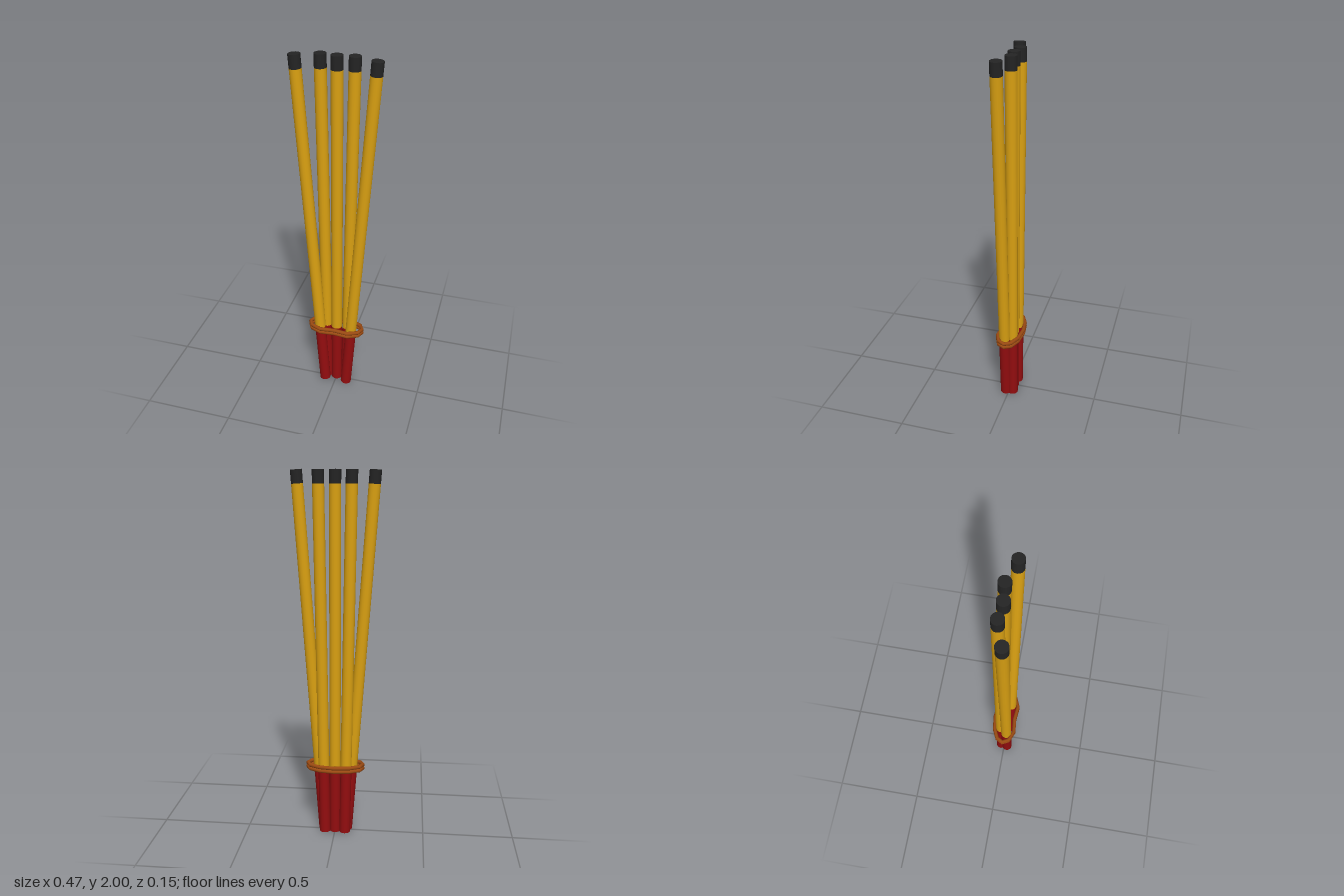
import * as THREE from 'three';

const paint = (name, color) => {
  const m = new THREE.MeshStandardMaterial({ color });
  m.name = name;
  return m;
};

export function createModel() {
  const group = new THREE.Group();
  group.name = 'stickBundle';
  const yellow = paint('goldenYellow', 0xd9a012);
  const red = paint('darkRed', 0x930d0f);
  const black = paint('charcoal', 0x242424);
  const brown = paint('bandBrown', 0x9a4a12);
  const R = 0.031;

  // One stick: red grip, yellow shaft and black tip along a leaning axis
  function addStick(name, xBottom, xTop, z) {
    const stick = new THREE.Group();
    stick.name = name;
    const lean = Math.atan2(xTop - xBottom, 2);
    const inset = R * Math.abs(Math.sin(lean));
    const length = (2 - 2 * inset) / Math.cos(lean);
    const sections = [
      ['grip', 0, 0.39, red],
      ['shaft', 0.39, length - 0.07, yellow],
      ['tip', length - 0.07, length, black],
    ];
    for (const [part, from, to, material] of sections) {
      const mesh = new THREE.Mesh(new THREE.CylinderGeometry(R, R, to - from, 16), material);
      mesh.name = part;
      mesh.position.y = (from + to) / 2;
      stick.add(mesh);
    }
    stick.position.set(xBottom, inset, z);
    stick.rotation.z = -lean;
    group.add(stick);
  }

  // Fan of five sticks, the outer pairs mirrored
  addStick('centreStick', 0, 0, -0.011);
  for (const [side, s] of [['left', 1], ['right', -1]]) {
    addStick(side + 'InnerStick', s * 0.056, s * 0.086, -0.02);
    addStick(side + 'OuterStick', s * 0.064, s * 0.203, 0.018);
  }

  // Band wrapped twice around the bundle, pinched at the front
  const half = [[0.08, -0.056], [0.136, -0.03], [0.154, 0.004], [0.136, 0.038], [0.08, 0.062]];
  const outline = [
    [0, -0.066], ...half, [0, 0.054],
    ...half.slice().reverse().map(([x, z]) => [-x, z]),
  ].map(([x, z]) => new THREE.Vector3(x, 0, z));
  const path = new THREE.CurvePath();
  outline.forEach((p, i) => path.add(new THREE.LineCurve3(p, outline[(i + 1) % outline.length])));

  // Sweep an upright ring of points around the outline, mitred at its corners
  function bandGeometry(radius, sides) {
    const n = outline.length, positions = [], index = [];
    for (let i = 0; i < n; i++) {
      const prev = outline[(i + n - 1) % n], next = outline[(i + 1) % n];
      const t = next.clone().sub(prev).normalize();
      for (let j = 0; j < sides; j++) {
        const a = (j / sides) * Math.PI * 2;
        positions.push(
          outline[i].x + t.z * -radius * Math.cos(a),
          radius * Math.sin(a),
          outline[i].z + t.x * radius * Math.cos(a));
        const k = (j + 1) % sides, m = (i + 1) % n;
        const p = i * sides + j, q = m * sides + j, r = m * sides + k, s = i * sides + k;
        index.push(p, s, q, q, s, r);
      }
    }
    const g = new THREE.BufferGeometry();
    g.setAttribute('position', new THREE.Float32BufferAttribute(positions, 3));
    g.setIndex(index);
    g.computeVertexNormals();
    return g;
  }
  brown.side = THREE.DoubleSide;
  const bandShape = bandGeometry(0.011, 8);
  for (const [name, y] of [['lowerBand', 0.382], ['upperBand', 0.403]]) {
    const band = new THREE.Mesh(bandShape, brown);
    band.name = name;
    band.position.y = y;
    group.add(band);
  }
  return group;
}
